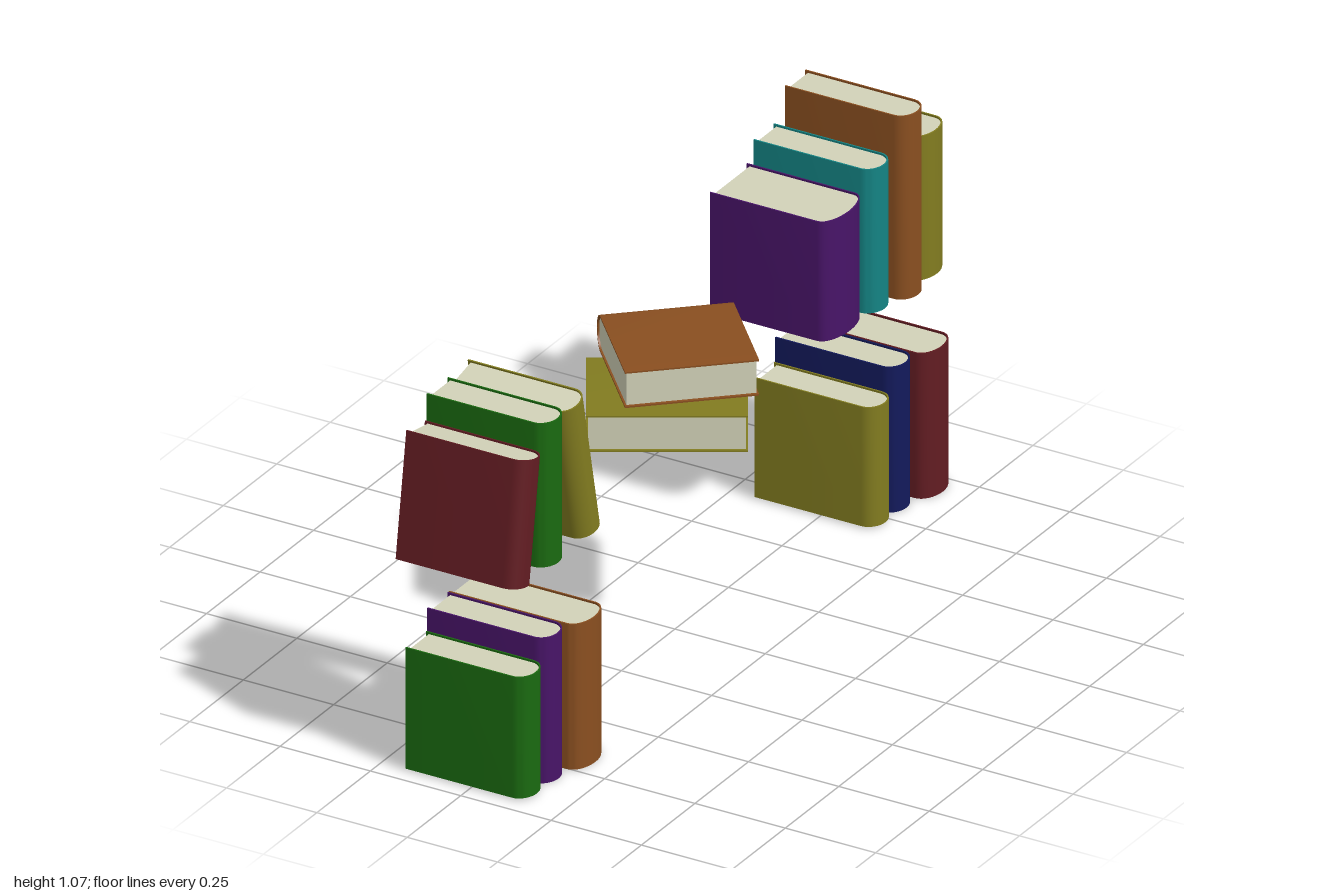
import * as THREE from 'three';
import { toCreasedNormals } from 'three/addons/utils/BufferGeometryUtils.js';

const COLORS = {
  maroon: 0x621c22, green: 0x1a6a10, olive: 0x827c20, purple: 0x481468,
  teal: 0x148484, brown: 0x8a4f20, navy: 0x131a5c, paper: 0xd2d2b8,
};
const materials = {};
for (const [name, color] of Object.entries(COLORS)) {
  materials[name] = new THREE.MeshStandardMaterial({ color });
}

const BOARD = 0.004; // cover thickness
const BULGE = 0.04;  // depth of the rounded spine

// Cross-section outline from the fore edge, round the spine, and back
function outline(x0, x1, half, bulge) {
  const pts = [new THREE.Vector2(x0, -half)];
  for (let i = 0; i <= 16; i++) {
    const a = -Math.PI / 2 + (Math.PI * i) / 16;
    pts.push(new THREE.Vector2(x1 - bulge + bulge * Math.cos(a), half * Math.sin(a)));
  }
  pts.push(new THREE.Vector2(x0, half));
  return pts;
}

// Extrudes a cross-section upwards, centred on y = 0
function upright(points, height) {
  const geo = new THREE.ExtrudeGeometry(new THREE.Shape(points), { depth: height, bevelEnabled: false });
  geo.translate(0, 0, -height / 2);
  geo.rotateX(-Math.PI / 2);
  return toCreasedNormals(geo, 0.6);
}

// Book centred on its origin: spine towards +x, height along y, thickness along z
function makeBook(name, color, depth, height, thick) {
  const book = new THREE.Group();
  book.name = name;
  const x0 = -depth / 2, x1 = depth / 2, half = thick / 2;
  const outer = outline(x0, x1, half, BULGE);
  const inner = outline(x0, x1 - BOARD, half - BOARD, BULGE - BOARD).reverse();
  const cover = new THREE.Mesh(upright([...outer, ...inner], height), materials[color]);
  cover.name = 'cover';
  const block = outline(x0 + 0.008, x1 - BOARD, half - BOARD, BULGE - BOARD);
  const pages = new THREE.Mesh(upright(block, height - 0.01), materials.paper);
  pages.name = 'pages';
  book.add(cover, pages);
  return book;
}

export function createModel() {
  const model = new THREE.Group();
  model.name = 'books';

  // Standing books: name, colour, x range, y range, z range
  const standing = [
    ['lowerFrontSmallBook', 'green', -0.18, 0.155, 0.005, 0.33, 0.855, 0.955],
    ['lowerFrontMiddleBook', 'purple', -0.18, 0.155, 0, 0.39, 0.755, 0.853],
    ['lowerFrontThickBook', 'brown', -0.18, 0.187, 0, 0.39, 0.62, 0.753],
    ['lowerBackSmallBook', 'olive', -0.18, 0.155, 0.005, 0.325, -0.77, -0.675],
    ['lowerBackMiddleBook', 'navy', -0.18, 0.155, 0, 0.39, -0.87, -0.772],
    ['lowerBackThickBook', 'maroon', -0.18, 0.187, 0, 0.39, -1, -0.873],
    ['upperFrontMiddleBook', 'green', -0.18, 0.155, 0.58, 0.966, 0.755, 0.855],
    ['upperBackThickBook', 'purple', -0.195, 0.142, 0.58, 0.9, -0.668, -0.492],
    ['upperBackMiddleBook', 'teal', -0.18, 0.155, 0.58, 0.966, -0.768, -0.67],
    ['upperBackTallBook', 'brown', -0.153, 0.187, 0.58, 1.072, -0.87, -0.772],
    ['upperBackEndBook', 'olive', -0.18, 0.17, 0.58, 0.966, -1, -0.875],
  ];
  for (const [name, color, x0, x1, y0, y1, z0, z1] of standing) {
    const book = makeBook(name, color, x1 - x0, y1 - y0, z1 - z0);
    book.position.set((x0 + x1) / 2, (y0 + y1) / 2, (z0 + z1) / 2);
    model.add(book);
  }

  // Leaning books on either side of the upper front one
  const leaning = [
    ['leaningFrontBook', 'maroon', 0.327, 0.092, 0.742, 0.93, -0.153],
    ['leaningBackBook', 'olive', 0.384, 0.096, 0.774, 0.667, 0.21],
  ];
  for (const [name, color, height, thick, y, z, tilt] of leaning) {
    const book = makeBook(name, color, 0.335, height, thick);
    book.position.set(-0.0125, y, z);
    book.rotation.x = tilt;
    model.add(book);
  }

  // Two books lying flat in the middle, turned about y
  const lying = [
    ['lyingLowerBook', 'olive', 0.335, 0.386, 0, 0.627, 0.037, 2.106],
    ['lyingUpperBook', 'brown', 0.335, 0.326, -0.012, 0.724, -0.035, 2.307],
  ];
  for (const [name, color, depth, height, x, y, z, turn] of lying) {
    const book = makeBook(name, color, depth, height, 0.096);
    book.position.set(x, y, z);
    book.rotation.set(-Math.PI / 2, turn, 0, 'YXZ');
    model.add(book);
  }
  return model;
}
